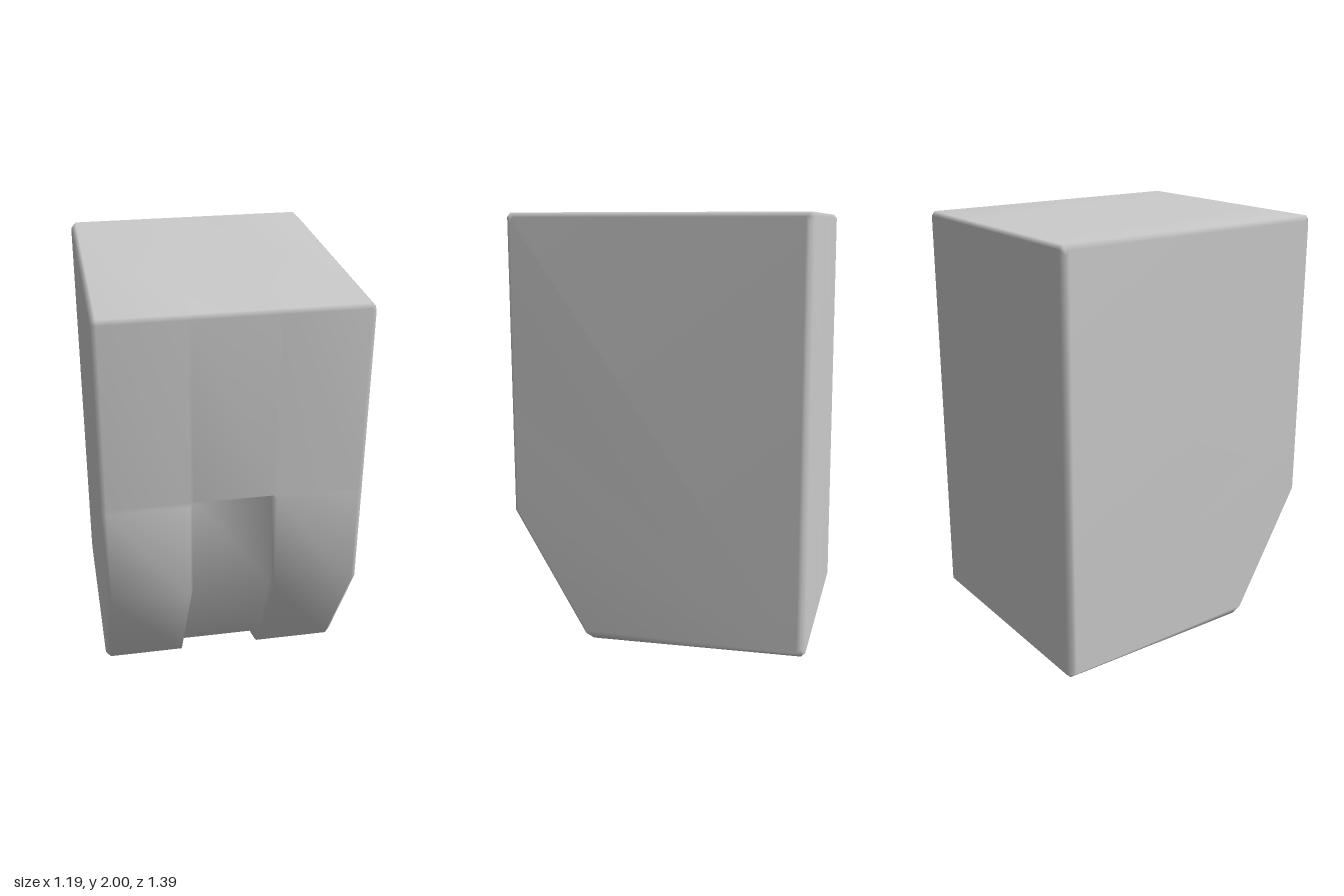
import * as THREE from 'three';

// Side profile as [z, y, recess]: up the back, over the top, down the front.
// recess is how far the point sinks in z inside the front slot.
const PROFILE = [
  [-0.675, 0, 0], [-0.695, 0.02, 0], [-0.695, 1.98, 0], [-0.68, 2, 0],
  [0.68, 2, 0], [0.695, 1.98, 0],
  [0.695, 1.12, 0], [0.695, 1.095, 0.06],   // sloped lip at the slot top
  [0.695, 0.61, 0.06],                      // start of the slanted toe
  [0.355, 0.02, 0.08], [0.315, 0, 0.08],
];

// Cross-sections along x: [x, slot amount, bevel inset]
const STATIONS = [
  [-0.593, 0, 1], [-0.57, 0, 0], [-0.2, 0, 0], [-0.18, 1, 0],
  [0.18, 1, 0], [0.195, 0, 0], [0.57, 0, 0], [0.593, 0, 1],
];

function bodyGeometry() {
  const n = PROFILE.length, last = (STATIONS.length - 1) * n;
  const pos = [], index = [];
  for (const [x, slot, inset] of STATIONS) {
    const sz = inset ? 0.97 : 1, sy = inset ? 0.978 : 1;
    for (const [z, y, recess] of PROFILE) {
      pos.push(x, 1 + (y - 1) * sy, (z - recess * slot) * sz);
    }
  }
  // Skin between neighbouring cross-sections
  for (let i = 0; i < last; i += n) {
    for (let j = 0; j < n; j++) {
      const k = (j + 1) % n;
      index.push(i + j, i + k, i + n + k, i + j, i + n + k, i + n + j);
    }
  }
  // Flat side faces
  for (let j = 1; j < n - 1; j++) {
    index.push(last, last + j, last + j + 1, 0, j + 1, j);
  }
  const g = new THREE.BufferGeometry();
  g.setAttribute('position', new THREE.Float32BufferAttribute(pos, 3));
  g.setIndex(index);
  g.computeVertexNormals();   // shared vertices give soft shading over the bevels
  return g;
}

export function createModel() {
  const group = new THREE.Group();
  group.name = 'slottedBlock';
  const body = new THREE.Mesh(bodyGeometry(), new THREE.MeshStandardMaterial({ color: 0xcccccc }));
  body.name = 'bodyWithFrontSlot';
  group.add(body);
  return group;
}
